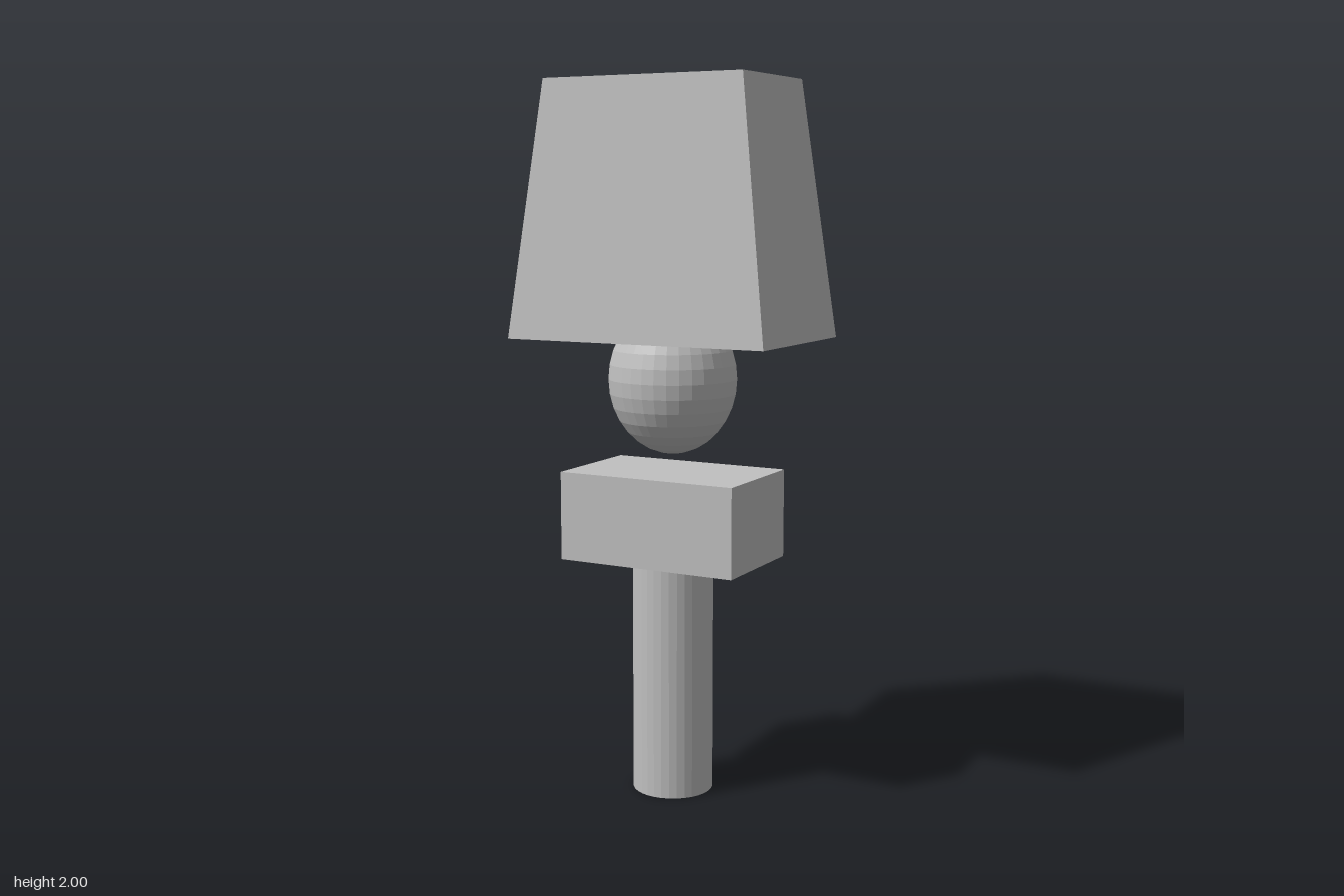
import * as THREE from 'three';

const grey = new THREE.MeshStandardMaterial({ color: 0xc0c0c0, flatShading: true });
grey.name = 'grey';

function addPart(group, name, geometry, y) {
  const mesh = new THREE.Mesh(geometry, grey);
  mesh.name = name;
  mesh.position.y = y;
  group.add(mesh);
}

// Box whose top face is smaller than its bottom face
function taperedBox(width, height, depth, topScaleX, topScaleZ) {
  const geometry = new THREE.BoxGeometry(width, height, depth);
  const p = geometry.attributes.position;
  for (let i = 0; i < p.count; i++) {
    if (p.getY(i) > 0) {
      p.setX(i, p.getX(i) * topScaleX);
      p.setZ(i, p.getZ(i) * topScaleZ);
    }
  }
  geometry.computeVertexNormals();
  return geometry;
}

export function createModel() {
  const model = new THREE.Group();
  model.name = 'lamp';

  // Round post
  addPart(model, 'post', new THREE.CylinderGeometry(0.114, 0.114, 0.672, 32), 0.336);

  // Rectangular block on the post
  addPart(model, 'block', new THREE.BoxGeometry(0.534, 0.25, 0.334), 0.797);

  // Egg-shaped bulb, floating between block and shade
  addPart(model, 'bulb', new THREE.SphereGeometry(0.18, 32, 16).scale(1, 1.17, 1), 1.183);

  // Closed, tapered shade
  addPart(model, 'shade', taperedBox(0.778, 0.704, 0.476, 0.772, 0.772), 1.648);

  return model;
}
